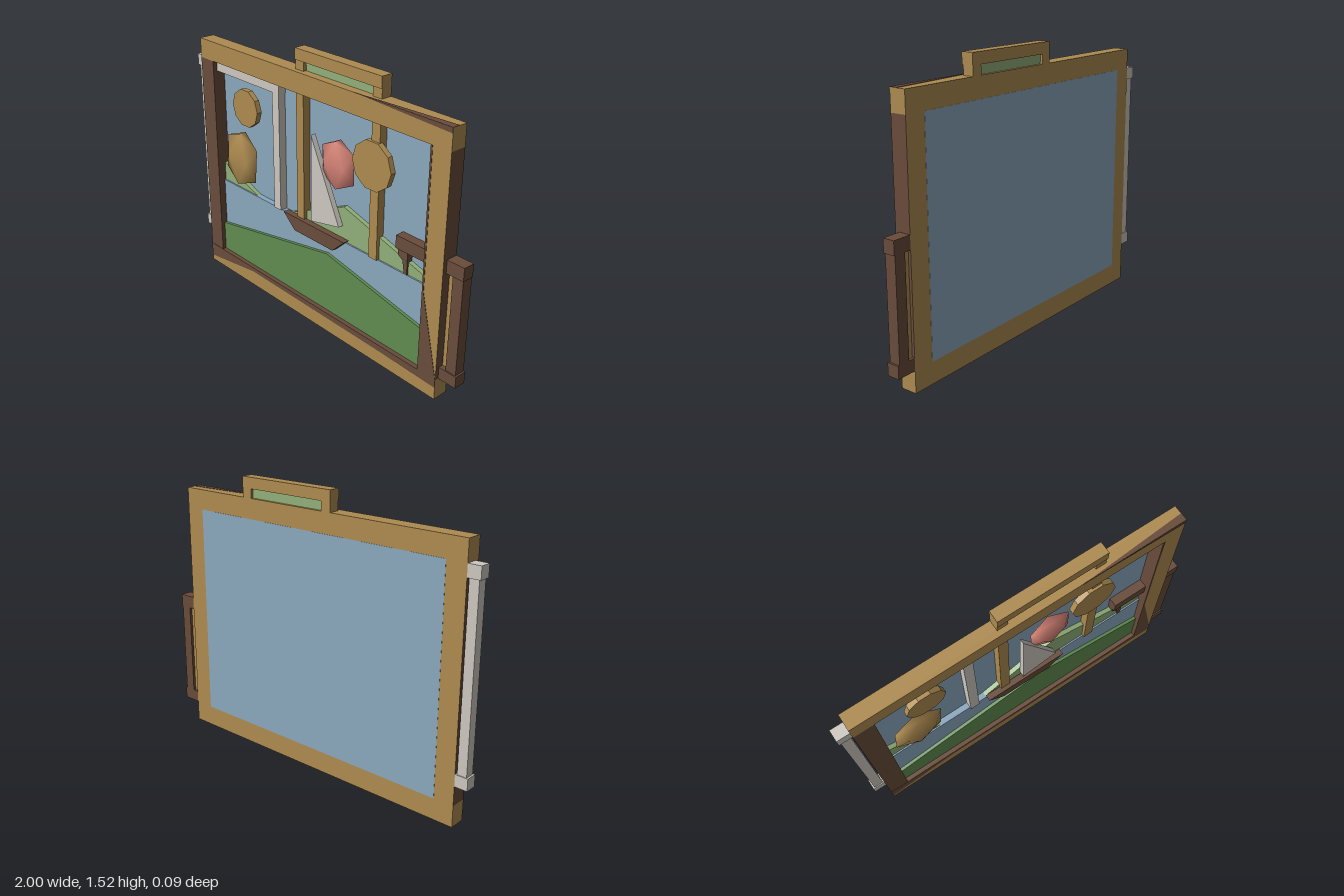
import * as THREE from 'three';

const mat = (name, color) => Object.assign(new THREE.MeshStandardMaterial({ color }), { name });

export function createModel() {
  const tan = mat('oak', 0xae8b50);
  const brown = mat('dark wood', 0x694c3b);
  const sky = mat('sky blue', 0x8aa8be);
  const lightGreen = mat('light green', 0x92b07a);
  const darkGreen = mat('dark green', 0x608b50);
  const white = mat('off white', 0xcdc8c0);
  const red = mat('coral', 0xd68376);

  const model = new THREE.Group();
  model.name = 'framedLandscape';
  const BACK = -0.045, FRONT = 0.045;

  const add = (name, geometry, material, parent = model) => {
    const mesh = new THREE.Mesh(geometry, material);
    mesh.name = name;
    parent.add(mesh);
    return mesh;
  };
  // Box given by its extents
  const bar = (name, material, x0, x1, y0, y1, z0, z1, parent) => {
    const g = new THREE.BoxGeometry(x1 - x0, y1 - y0, z1 - z0);
    g.translate((x0 + x1) / 2, (y0 + y1) / 2, (z0 + z1) / 2);
    return add(name, g, material, parent);
  };
  // Flat outline extruded from z0 to z1
  const slab = (name, material, points, z0, z1, parent) => {
    const shape = new THREE.Shape(points.map(([x, y]) => new THREE.Vector2(x, y)));
    const g = new THREE.ExtrudeGeometry(shape, { depth: z1 - z0, bevelEnabled: false });
    g.translate(0, 0, z0);
    return add(name, g, material, parent);
  };
  const group = (name) => {
    const g = new THREE.Group();
    g.name = name;
    model.add(g);
    return g;
  };

  // Main frame; box faces are ordered +x, -x, +y, -y, +z, -z
  const frame = group('mainFrame');
  bar('topRail', tan, -0.93, 0.89, 1.3, 1.41, BACK, FRONT - 0.002, frame);
  bar('bottomRail', [tan, tan, brown, brown, tan, tan], -0.93, 0.89, 0, 0.115, BACK, FRONT - 0.002, frame);
  bar('leftStile', [brown, brown, brown, brown, brown, tan], -0.93, -0.82, 0.115, 1.3, BACK, FRONT - 0.002, frame);
  bar('rightStile', [brown, brown, brown, brown, tan, tan], 0.775, 0.89, 0.115, 1.3, BACK, FRONT - 0.002, frame);

  // Dark wood patches on the frame
  slab('bottomRailPatch', brown,
    [[-0.93, 0.03], [-0.52, 0.09], [0.5, 0.08], [0.89, 0.07], [0.89, 0.115], [-0.93, 0.115]], 0.04, FRONT, frame);
  slab('rightStilePatch', brown,
    [[0.775, 0.115], [0.89, 0.115], [0.785, 0.56], [0.785, 1.3], [0.775, 1.3]], 0.04, FRONT, frame);
  slab('topRailPatch', brown, [[0.3, 1.411], [0.89, 1.385], [0.89, 1.411]], 0.04, FRONT, frame);
  const topPatch = slab('topFacePatch', brown, [[0.3, -0.044], [0.89, -0.044], [0.89, -0.002]], 0, 0.003, frame);
  topPatch.rotation.x = -Math.PI / 2;
  topPatch.position.y = 1.409;

  // Sky, water and hills in layers
  bar('skyPanel', sky, -0.82, 0.775, 0.115, 1.3, BACK - 0.001, -0.03);
  bar('water', sky, -0.82, 0.775, 0.115, 0.57, -0.03, 0.003);
  slab('leftHill', lightGreen, [[-0.82, 0.57], [-0.52, 0.57], [-0.82, 0.68]], -0.03, -0.005);
  slab('rightHill', lightGreen,
    [[-0.24, 0.57], [0.775, 0.57], [0.775, 0.6], [0.19, 0.765]], -0.03, -0.005);
  slab('foregroundHill', darkGreen,
    [[-0.82, 0.115], [0.775, 0.115], [0.775, 0.33], [0.09, 0.46], [-0.82, 0.29]], 0, 0.02);

  // Small oak frame at the top
  const oak = group('topSmallFrame');
  bar('topBar', tan, -0.15, 0.45, 1.46, 1.52, BACK, 0.02, oak);
  for (const x of [-0.15, 0.39]) {
    bar('upperPost', tan, x, x + 0.058, 1.41, 1.46, BACK, 0.014, oak);
    bar('lowerPost', tan, x, x + 0.055, 0.57, 1.3, -0.035, 0.014, oak);
  }
  bar('greenPanel', lightGreen, -0.092, 0.39, 1.41, 1.46, -0.03, -0.005, oak);

  // Small white frame at the left
  const pale = group('leftSmallFrame');
  bar('topBar', white, -0.82, -0.285, 1.24, 1.3, -0.035, 0.018, pale);
  bar('outerTop', white, -1, -0.93, 1.235, 1.3, BACK, 0.018, pale);
  bar('outerPost', white, -0.99, -0.938, 0.28, 1.235, -0.04, 0.012, pale);
  bar('outerFoot', white, -1, -0.93, 0.22, 0.285, BACK, 0.018, pale);
  bar('innerPost', white, -0.343, -0.29, 0.57, 1.24, -0.035, 0.014, pale);

  // Small dark frame at the right
  const dark = group('rightSmallFrame');
  bar('topBar', brown, 0.575, 0.775, 0.7, 0.77, -0.035, 0.02, dark);
  bar('outerTop', brown, 0.89, 0.99, 0.7, 0.77, BACK, 0.02, dark);
  bar('outerPost', brown, 0.925, 0.986, 0.18, 0.7, BACK, 0.015, dark);
  bar('outerFoot', brown, 0.89, 0.995, 0.115, 0.18, BACK, 0.022, dark);
  bar('oakPanel', tan, 0.89, 0.925, 0.18, 0.7, -0.03, -0.005, dark);
  slab('innerPost', brown,
    [[0.575, 0.7], [0.58, 0.66], [0.61, 0.64], [0.622, 0.57], [0.64, 0.57], [0.64, 0.7]], -0.03, 0.005, dark);

  // Ten-sided sun and tree crown
  const disc = (name, x, y, r) => {
    const g = new THREE.CylinderGeometry(r, r, 0.03, 10).toNonIndexed();
    g.computeVertexNormals();
    g.rotateX(Math.PI / 2);
    g.rotateZ(Math.PI / 10);
    add(name, g, tan).position.set(x, y, 0.012);
  };
  disc('sunDisc', -0.565, 1.09, 0.108);
  disc('treeCrown', 0.405, 1.07, 0.13);

  // Flattened, softly shaded faceted balls
  const ball = (name, material, x, y, rx, ry, tilt) => {
    const g = new THREE.IcosahedronGeometry(1, 0);
    g.rotateZ(Math.PI / 2);
    const p = g.attributes.position, n = g.attributes.normal;
    for (let i = 0; i < p.count; i++) n.setXYZ(i, p.getX(i), p.getY(i), p.getZ(i));
    const mesh = add(name, g, material);
    mesh.scale.set(rx, ry, 0.04);
    mesh.rotation.z = tilt;
    mesh.position.set(x, y, 0.005);
  };
  ball('goldBall', tan, -0.64, 0.765, 0.155, 0.187, -0.1);
  ball('coralBall', red, 0.155, 0.988, 0.133, 0.15, 0.03);

  // Sailing boat
  const boat = group('sailingBoat');
  slab('hull', brown, [[-0.15, 0.51], [0.15, 0.51], [0.235, 0.59], [-0.24, 0.59]], 0, 0.035, boat);
  slab('sail', white, [[-0.02, 0.615], [0.19, 0.66], [-0.02, 1.1]], 0, 0.03, boat);

  return model;
}
